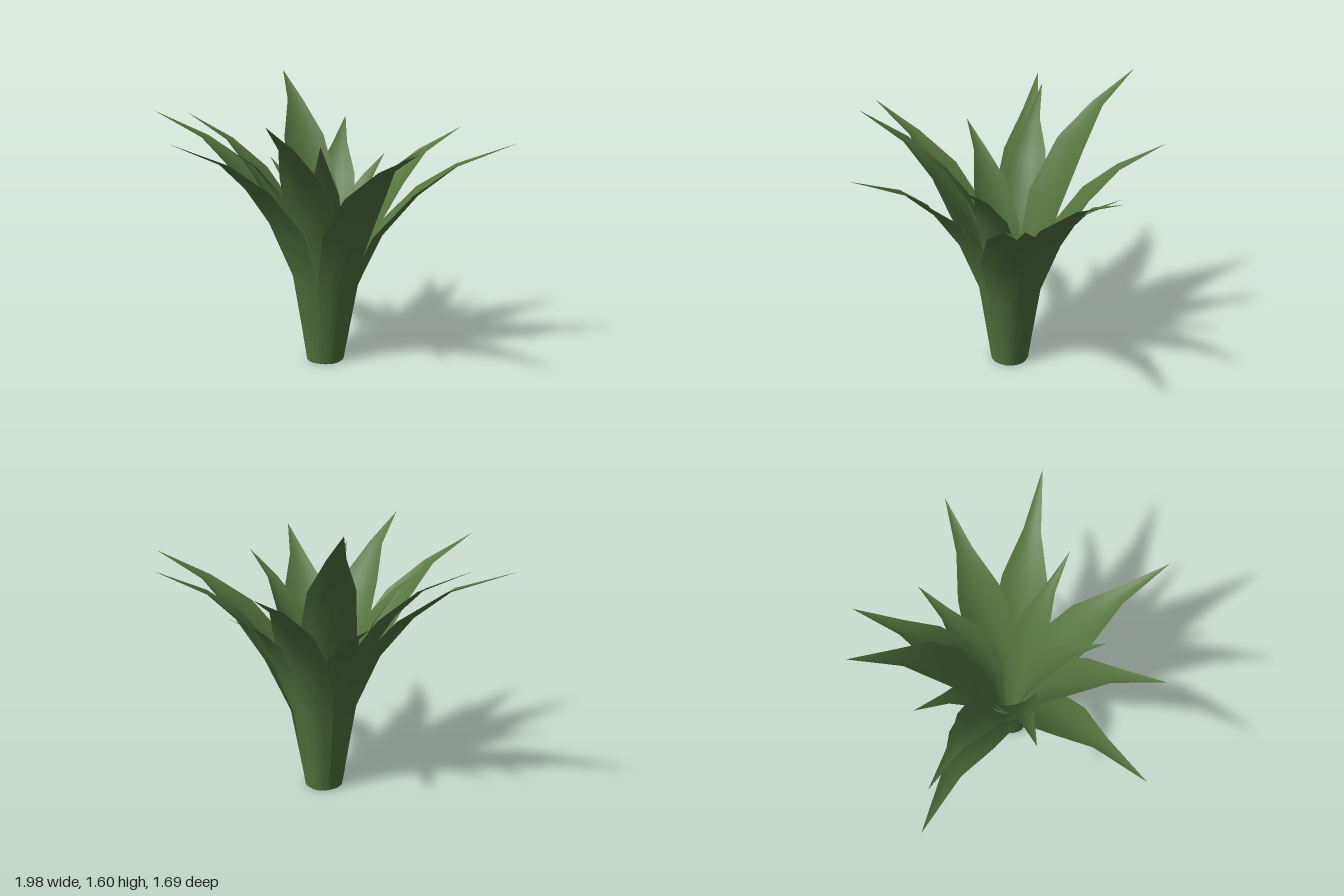
import * as THREE from 'three';

// Centre of the rosette
const CX = 0.05, CZ = -0.115;

// Leaf tip x, y, z, width factor, radius at the foot
const LEAVES = [
  [-0.25, 1.31, -0.85, 1.0, 0.11],
  [0.10, 1.12, -0.72, 0.85, 0.09],
  [0.54, 1.30, -0.83, 1.1, 0.11],
  [0.99, 1.28, -0.50, 1.15, 0.11],
  [0.64, 1.28, -0.11, 0.78, 0.05],
  [0.83, 1.33, 0.37, 1.1, 0.11],
  [0.28, 1.31, 0.32, 0.75, 0.05],
  [0.21, 1.44, 0.68, 1.0, 0.1],
  [-0.23, 1.35, 0.84, 1.0, 0.11],
  [-0.34, 1.27, 0.31, 0.9, 0.05],
  [-0.55, 1.60, -0.59, 1.1, 0.095],
  [-0.48, 1.10, -0.34, 0.75, 0.05],
  [-0.99, 1.39, 0.11, 1.1, 0.105],
  [-0.81, 1.38, 0.02, 0.9, 0.075],
];

// Leaf sections from foot to tip: share of reach, share of height, width, cupping
const SECTIONS = [
  [0, 0, 0.135, 0.03],
  [0.085, 0.355, 0.205, 0.04],
  [0.23, 0.585, 0.275, 0.04],
  [0.44, 0.77, 0.22, 0.025],
  [0.66, 0.897, 0.085, 0.008],
  [1, 1, 0, 0],
];
const ACROSS = 6;

// A cupped blade that arches outward along the direction to its tip
function leafGeometry([tx, ty, tz, wide, foot]) {
  const dx = tx - CX, dz = tz - CZ;
  const reach = Math.hypot(dx, dz);
  const ox = dx / reach, oz = dz / reach;
  const spine = SECTIONS.map(([r, h]) => [foot + (reach - foot) * r, ty * h]);
  const positions = [], index = [];
  SECTIONS.forEach(([, , width, cup], i) => {
    const a = spine[Math.max(i - 1, 0)], b = spine[Math.min(i + 1, spine.length - 1)];
    const length = Math.hypot(b[0] - a[0], b[1] - a[1]);
    const inward = -(b[1] - a[1]) / length;
    const upward = i === 0 ? 0 : (b[0] - a[0]) / length;
    for (let j = 0; j <= ACROSS; j++) {
      const u = (j / ACROSS) * 2 - 1;
      const lift = cup * wide * u * u;
      const r = spine[i][0] + inward * lift;
      const side = u * width * wide / 2;
      positions.push(CX + ox * r - oz * side, spine[i][1] + upward * lift, CZ + oz * r + ox * side);
    }
  });
  const row = ACROSS + 1;
  for (let i = 0; i < SECTIONS.length - 1; i++) {
    for (let j = 0; j < ACROSS; j++) {
      const a = i * row + j, b = a + 1, c = a + row, d = c + 1;
      index.push(a, c, b);
      if (i < SECTIONS.length - 2) index.push(b, c, d);
    }
  }
  const geometry = new THREE.BufferGeometry();
  geometry.setAttribute('position', new THREE.Float32BufferAttribute(positions, 3));
  geometry.setIndex(index);
  geometry.computeVertexNormals();
  return geometry;
}

export function createModel() {
  const group = new THREE.Group();
  group.name = 'plant';
  const leafGreen = new THREE.MeshStandardMaterial({ color: 0x55753f, side: THREE.DoubleSide });
  leafGreen.name = 'leafGreen';
  LEAVES.forEach((leaf, i) => {
    const mesh = new THREE.Mesh(leafGeometry(leaf), leafGreen);
    mesh.name = `leaf${i + 1}`;
    group.add(mesh);
  });
  return group;
}
